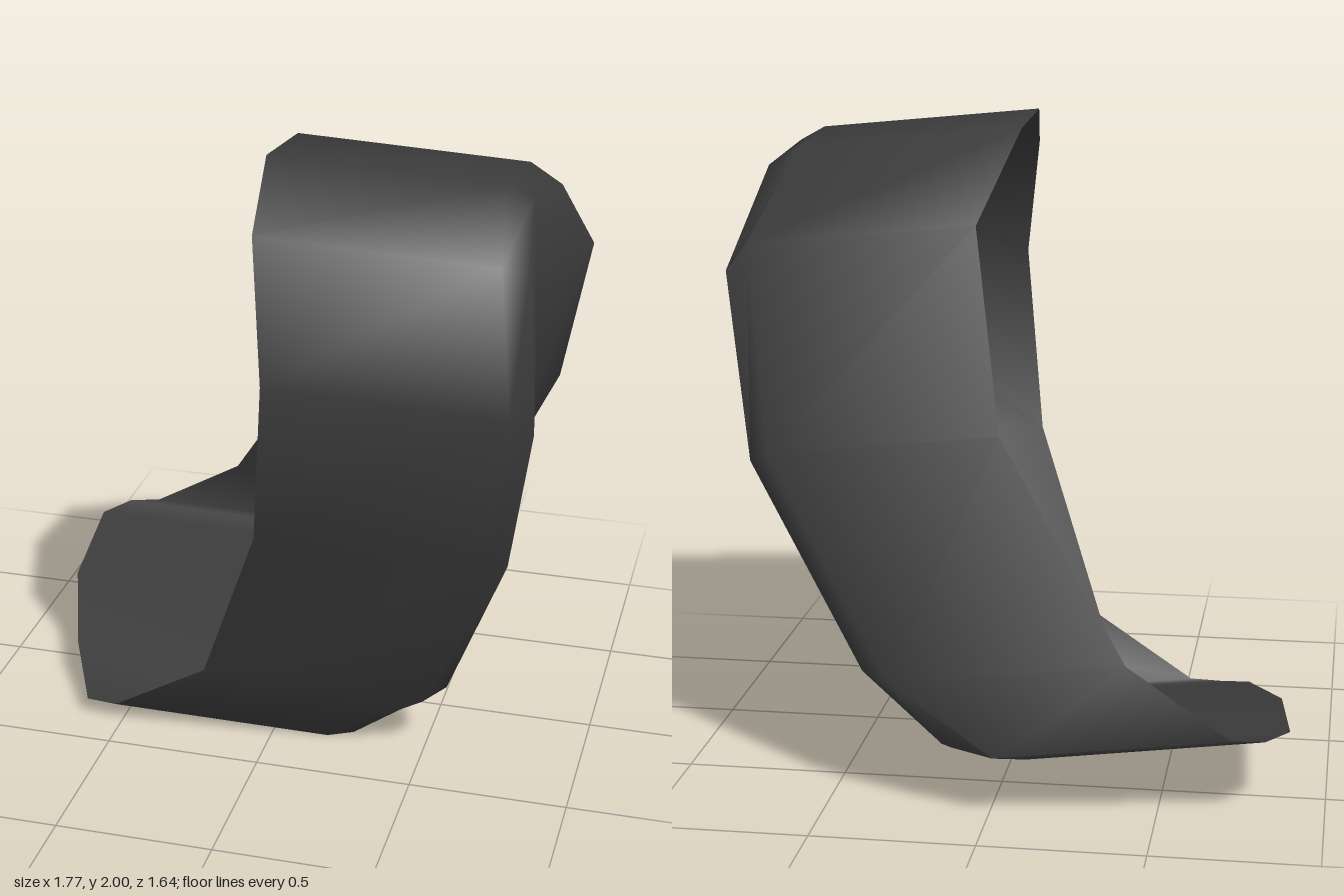
import * as THREE from 'three';
import { toCreasedNormals } from 'three/addons/utils/BufferGeometryUtils.js';

// Open rim: up the front, over the top, down the back, then along the floor lip
const RIM = [
  [-0.62, 0.06, 0.36], [-0.52, 0.06, 0.37], [-0.2, 0.26, 0.41], [0.03, 0.87, 0.62],
  [0.11, 1.46, 0.82], [0.05, 1.86, 0.68], [0.01, 2, 0.38], [0.02, 1.97, 0.06],
  [0.12, 1.7, -0.23], [0.01, 1.1, -0.48], [-0.4, 0.46, -0.68], [-0.72, 0.26, -0.73],
  [-0.82, 0.255, -0.71], [-0.89, 0.25, -0.6], [-0.85, 0.21, -0.2], [-0.73, 0.14, 0.14],
];
// Direction in which the rim is swept to form the wall
const SWEEP = [0.7, -0.06, -0.087];
// Bevelled outline of the closed side, matching the rim point by point
const CAP = [
  [0.18, 0.02, 0.23], [0.26, 0.005, 0.25], [0.57, 0.24, 0.28], [0.78, 0.8, 0.47],
  [0.87, 1.33, 0.66], [0.82, 1.77, 0.54], [0.78, 1.9, 0.25], [0.82, 1.85, -0.02],
  [0.885, 1.56, -0.33], [0.77, 1.01, -0.53], [0.39, 0.42, -0.72], [0.14, 0.22, -0.77],
  [0.12, 0.19, -0.72], [0.1, 0.18, -0.63], [0.05, 0.14, -0.29], [0.12, 0.08, 0.03],
];
// Slightly hollow centre line of the closed side, from the bend upward
const SPINE = [[0.4, 0.34, -0.15], [0.67, 0.87, -0.06], [0.79, 1.42, 0.17]];

function shellGeometry() {
  const n = RIM.length;
  const wall = RIM.map((p) => p.map((v, k) => v + SWEEP[k]));
  const points = [...RIM, ...wall, ...CAP, ...SPINE];
  const index = [];
  const quad = (a, b, c, d) => index.push(a, b, c, a, c, d);

  // Swept wall, then the narrow bevel
  for (let ring = 0; ring < 2; ring++) {
    for (let i = 0; i < n; i++) {
      const j = (i + 1) % n;
      const a = ring * n, b = a + n;
      quad(a + i, b + i, b + j, a + j);
    }
  }

  // Side panel in rows of front, centre and back points
  const cap = (i) => 2 * n + (i % n);
  const spine = (i) => 3 * n + i;
  const rows = [
    [cap(2), spine(0), cap(10)],
    [cap(3), spine(1), cap(9)],
    [cap(4), spine(2), cap(8)],
    [cap(5), cap(6), cap(7)],
  ];
  for (let r = 0; r < 3; r++) {
    for (let c = 0; c < 2; c++) {
      quad(rows[r][c], rows[r][c + 1], rows[r + 1][c + 1], rows[r + 1][c]);
    }
  }

  // Lower panel bending into the floor
  for (let i = 10; i < n + 2; i++) index.push(spine(0), cap(i + 1), cap(i));

  const geometry = new THREE.BufferGeometry();
  geometry.setAttribute('position', new THREE.Float32BufferAttribute(points.flat(), 3));
  geometry.setIndex(index);
  return toCreasedNormals(geometry, 1.25);
}

export function createModel() {
  const group = new THREE.Group();
  group.name = 'curvedGuard';
  const charcoal = new THREE.MeshStandardMaterial({ color: 0x3b3b3b, side: THREE.DoubleSide });
  charcoal.name = 'charcoal';
  const shell = new THREE.Mesh(shellGeometry(), charcoal);
  shell.name = 'guardShell';
  group.add(shell);
  return group;
}
